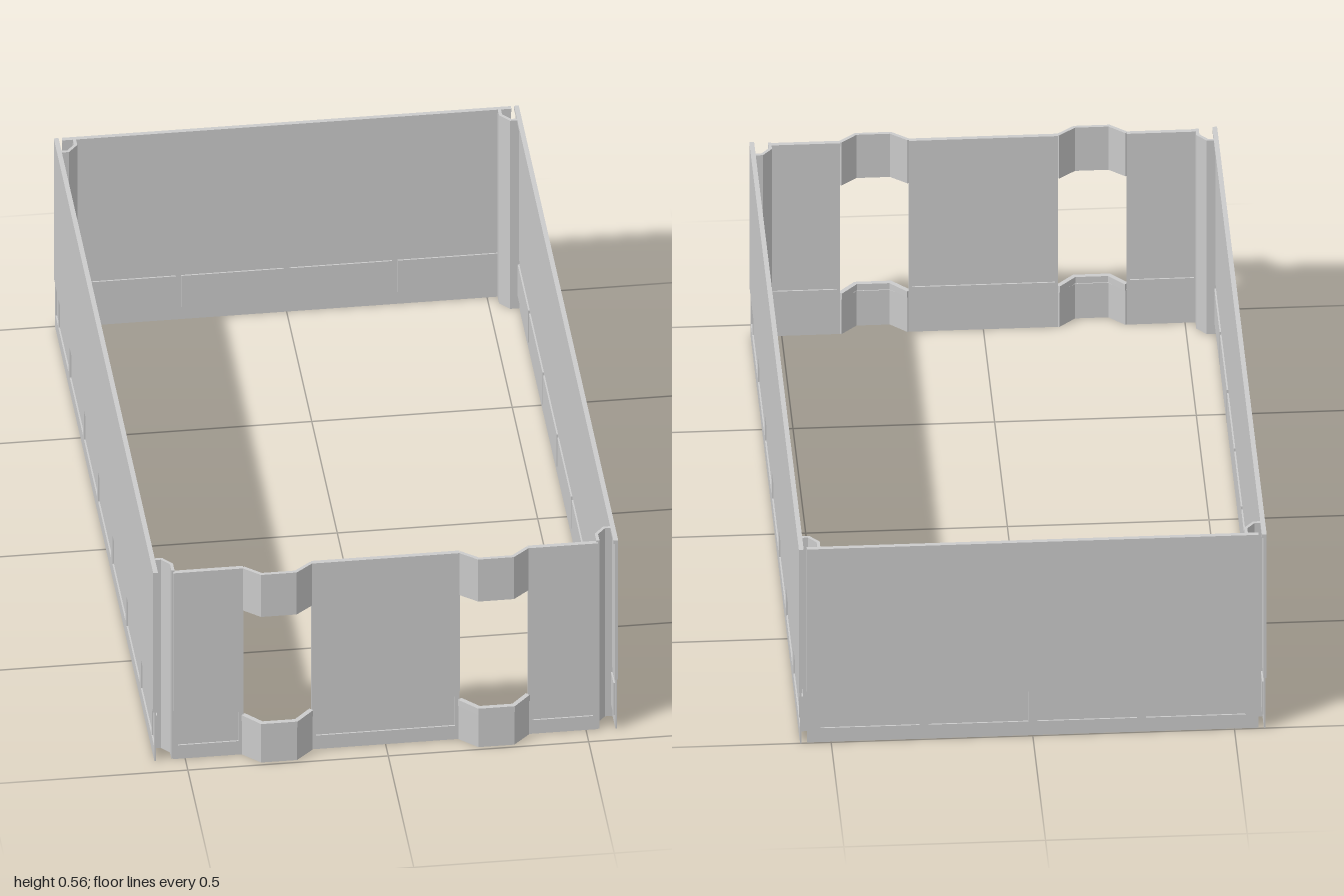
import * as THREE from 'three';

const grey = new THREE.MeshStandardMaterial({ color: 0xcccccc, flatShading: true });
const TOP = 0.56, STEP = 0.145;

function mesh(name, geometry, parent) {
  const m = new THREE.Mesh(geometry, grey);
  m.name = name;
  parent.add(m);
  return m;
}

function box(name, x0, x1, y0, y1, z0, z1, parent) {
  const m = mesh(name, new THREE.BoxGeometry(x1 - x0, y1 - y0, z1 - z0), parent);
  m.position.set((x0 + x1) / 2, (y0 + y1) / 2, (z0 + z1) / 2);
  return m;
}

// Folded sheet: a plan line of [x, z] points, thickened and raised from y0 to y1
function foldedSheet(name, plan, thickness, y0, y1, parent) {
  const pts = plan.map(([x, z]) => new THREE.Vector2(x, -z));
  const side = (s) => pts.map((p, i) => {
    const a = pts[Math.max(i - 1, 0)], b = pts[Math.min(i + 1, pts.length - 1)];
    const normal = (u, v) => new THREE.Vector2(u.y - v.y, v.x - u.x).normalize();
    const n1 = i > 0 ? normal(a, p) : normal(p, b);
    const n2 = i < pts.length - 1 ? normal(p, b) : n1;
    const miter = n1.clone().add(n2).normalize();
    return p.clone().addScaledVector(miter, s * thickness / 2 / miter.dot(n1));
  });
  const shape = new THREE.Shape([...side(1), ...side(-1).reverse()]);
  const geometry = new THREE.ExtrudeGeometry(shape, { depth: y1 - y0, bevelEnabled: false });
  geometry.rotateX(-Math.PI / 2).translate(0, y0, 0);
  return mesh(name, geometry, parent);
}

// Flat wall facing +z with its outer face at z = 0: plain sheet above,
// stepped-in skirt with recessed panels below
function wall(name, x0, x1, panels, top = TOP) {
  const g = new THREE.Group();
  g.name = name;
  box('upperSheet', x0, x1, STEP, top, -0.008, 0, g);
  box('topRim', x0, x1, top - 0.01, top, -0.012, -0.001, g);
  const skirt = new THREE.Shape();
  skirt.moveTo(x0, 0).lineTo(x1, 0).lineTo(x1, STEP).lineTo(x0, STEP).closePath();
  for (const [a, b] of panels) {
    const hole = new THREE.Path();
    hole.moveTo(a, 0.04).lineTo(a, 0.127).lineTo(b, 0.127).lineTo(b, 0.04).closePath();
    skirt.holes.push(hole);
  }
  const frame = new THREE.ExtrudeGeometry(skirt, { depth: 0.004, bevelEnabled: false });
  mesh('skirtFrame', frame, g).position.z = -0.007;
  for (const [a, b] of panels) {
    box('recessedPanel', a - 0.004, b + 0.004, 0.036, 0.131, -0.011, -0.007, g);
  }
  return g;
}

function evenPanels(x0, x1, count, gap) {
  const pitch = (x1 - x0) / count;
  return Array.from({ length: count }, (_, i) =>
    [x0 + i * pitch + gap / 2, x0 + (i + 1) * pitch - gap / 2]);
}

export function createModel() {
  const model = new THREE.Group();
  model.name = 'openCrate';

  // Long side walls
  for (const s of [1, -1]) {
    const side = wall(s > 0 ? 'leftWall' : 'rightWall', -0.975, 0.975,
      evenPanels(-0.975, 0.975, 7, 0.022));
    side.rotation.y = s * Math.PI / 2;
    side.position.set(s * 0.58, 0, -0.025);
    model.add(side);
  }

  // Back wall
  const back = wall('backWall', -0.56, 0.56, evenPanels(-0.54, 0.54, 4, 0.022));
  back.rotation.y = Math.PI;
  back.position.z = -1;
  model.add(back);

  // Front wall sections either side of the two openings
  const front = new THREE.Group();
  front.name = 'frontWall';
  front.add(wall('frontCentre', -0.185, 0.185, [[-0.173, 0.173]], 0.555));
  front.add(wall('frontLeft', 0.355, 0.53, [[0.367, 0.518]], 0.555));
  front.add(wall('frontRight', -0.53, -0.355, [[-0.518, -0.367]], 0.555));
  front.position.z = 0.95;
  model.add(front);

  // Bulged bands above and below each opening
  const bulge = (s, z) => [[s * 0.355, 0.945], [s * 0.314, z], [s * 0.228, z], [s * 0.185, 0.945]];
  for (const s of [1, -1]) {
    foldedSheet('upperBulge', bulge(s, 0.98), 0.009, 0.43, 0.555, model);
    foldedSheet('lowerBulge', bulge(s, 0.985), 0.009, 0, 0.1, model);
    foldedSheet('lowerBulgeLip', bulge(s, 0.989), 0.012, 0.1, 0.118, model);
  }

  // Folded corner posts
  for (const sx of [1, -1]) {
    for (const [sz, end] of [[1, 0.945], [-1, 0.995]]) {
      const plan = [[0.53, end], [0.53, end - 0.03], [0.552, end - 0.056], [0.576, end - 0.056]];
      foldedSheet('cornerPost', plan.map(([x, z]) => [sx * x, sz * z]), 0.008, 0, TOP, model);
    }
  }
  return model;
}
